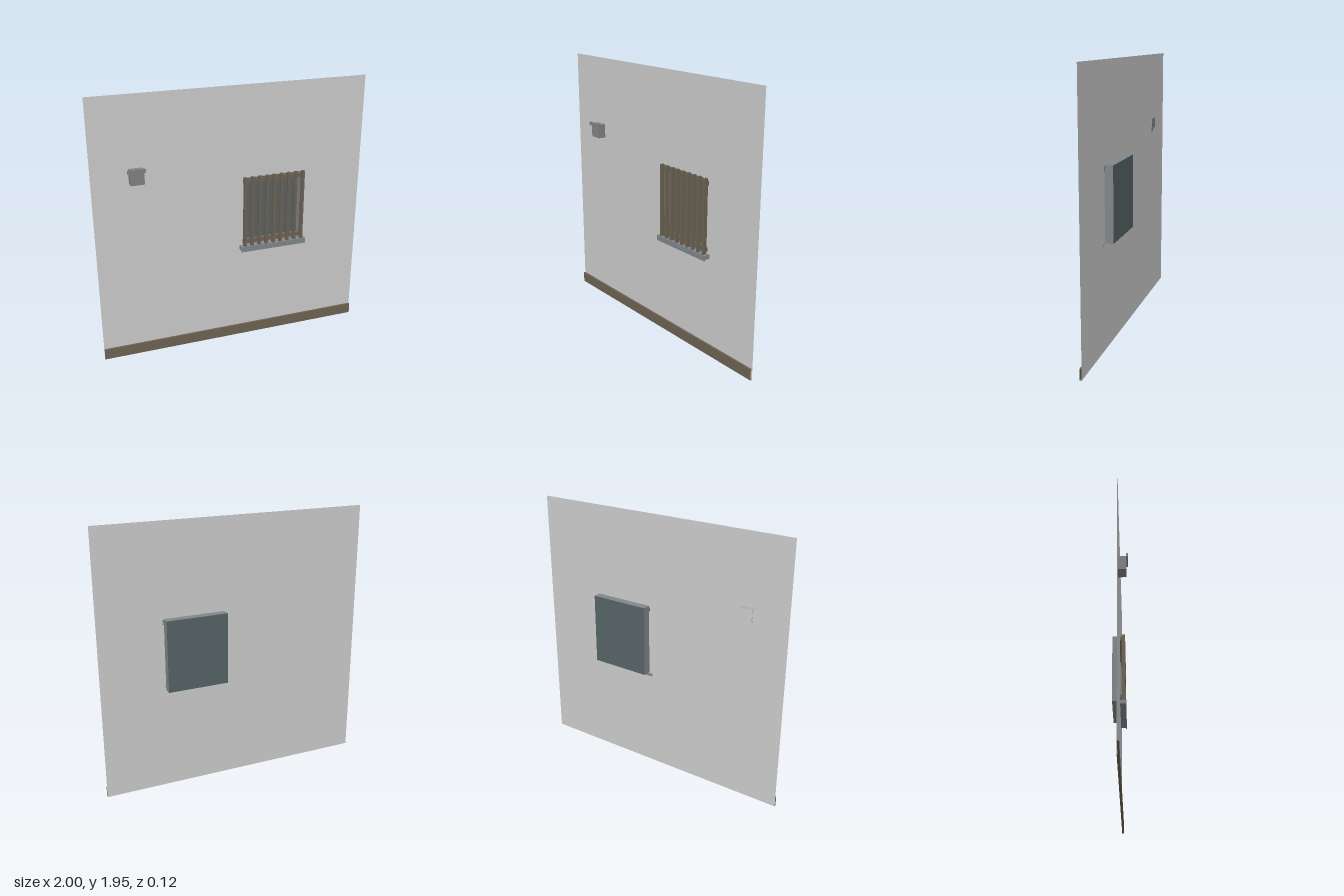
import * as THREE from 'three';

const mat = (color) => new THREE.MeshStandardMaterial({ color, side: THREE.DoubleSide });
const plaster = mat(0xcccccc);
const wood = mat(0x6e6253);
const stone = mat(0x80868b);
const metal = mat(0x828282);
const glass = mat(0x566367);

// Opening in the wall and the plane the wall lies in
const win = { x0: 0.08, x1: 0.53, y0: 0.755, y1: 1.28 };
const wallZ = -0.003, backZ = -0.062;

function mesh(name, geometry, material) {
  const m = new THREE.Mesh(geometry, material);
  m.name = name;
  return m;
}

// Box given by its limits on each axis
function block(name, material, x0, x1, y0, y1, z0, z1) {
  const m = mesh(name, new THREE.BoxGeometry(x1 - x0, y1 - y0, z1 - z0), material);
  m.position.set((x0 + x1) / 2, (y0 + y1) / 2, (z0 + z1) / 2);
  return m;
}

function rect(Type, x0, x1, y0, y1) {
  return new Type([[x0, y0], [x1, y0], [x1, y1], [x0, y1]].map(([x, y]) => new THREE.Vector2(x, y)));
}

// Flat sheet with a rectangular opening
function sheet(name, material, outer, inner, z) {
  const shape = rect(THREE.Shape, ...outer);
  shape.holes.push(rect(THREE.Path, ...inner));
  const m = mesh(name, new THREE.ShapeGeometry(shape), material);
  m.position.z = z;
  return m;
}

// Strip lying flat, facing up
function ledge(name, material, x0, x1, y, z0, z1) {
  const m = mesh(name, new THREE.PlaneGeometry(x1 - x0, z1 - z0), material);
  m.rotation.x = -Math.PI / 2;
  m.position.set((x0 + x1) / 2, y, (z0 + z1) / 2);
  return m;
}

function createWindow() {
  const g = new THREE.Group();
  g.name = 'window';
  const { x0, x1, y0, y1 } = win;

  // Reveal running back from the wall
  const depth = wallZ - backZ, midZ = (wallZ + backZ) / 2;
  for (const x of [x0, x1]) {
    const side = mesh('revealSide', new THREE.PlaneGeometry(depth, y1 - y0), stone);
    side.rotation.y = x === x0 ? Math.PI / 2 : -Math.PI / 2;
    side.position.set(x, (y0 + y1) / 2, midZ);
    g.add(side);
  }
  for (const y of [y0, y1]) g.add(ledge('reveal', stone, x0, x1, y, backZ, wallZ));

  // Pane and the narrow frame in front of it
  const pane = mesh('pane', new THREE.PlaneGeometry(x1 - x0, y1 - y0), glass);
  pane.position.set((x0 + x1) / 2, (y0 + y1) / 2, backZ);
  g.add(pane);
  g.add(sheet('frame', stone, [x0, x1, y0, y1],
    [x0 + 0.025, x1 - 0.025, y0 + 0.025, y1 - 0.025], backZ + 0.006));

  // Sill with a drip lip
  g.add(block('sill', stone, 0.05, 0.56, 0.725, 0.755, wallZ, 0.036));
  g.add(block('sillLip', stone, 0.05, 0.56, 0.715, 0.755, 0.034, 0.041));

  // Grille of upright bars on two rails
  for (let i = 0; i < 9; i++) {
    const x = 0.083 + i * 0.0558;
    g.add(block('bar', wood, x - 0.01, x + 0.01, 0.75, 1.29, 0.008, 0.034));
  }
  for (const y of [0.77, 1.24]) g.add(block('rail', wood, 0.073, 0.54, y, y + 0.03, -0.003, 0.012));
  return g;
}

function createSkirting() {
  const g = new THREE.Group();
  g.name = 'skirting';
  const h = 0.08, front = 0.011;
  const face = mesh('skirtingFace', new THREE.PlaneGeometry(2, h), wood);
  face.position.set(0, h / 2, front);
  g.add(face);
  // Open at both ends
  g.add(ledge('skirtingTop', wood, -1, 1, h, wallZ, front));
  g.add(ledge('skirtingBottom', wood, -1, 1, 0, wallZ, front));
  return g;
}

function createWallBox() {
  const g = new THREE.Group();
  g.name = 'wallBox';
  g.add(block('boxBody', metal, -0.742, -0.645, 1.342, 1.445, wallZ, 0.053));
  g.add(block('boxLip', metal, -0.76, -0.636, 1.428, 1.455, 0.051, 0.062));
  return g;
}

export function createModel() {
  const model = new THREE.Group();
  model.name = 'wallSection';
  model.add(sheet('wall', plaster, [-1, 1, 0, 1.95], [win.x0, win.x1, win.y0, win.y1], wallZ));
  model.add(createWindow(), createSkirting(), createWallBox());
  return model;
}
